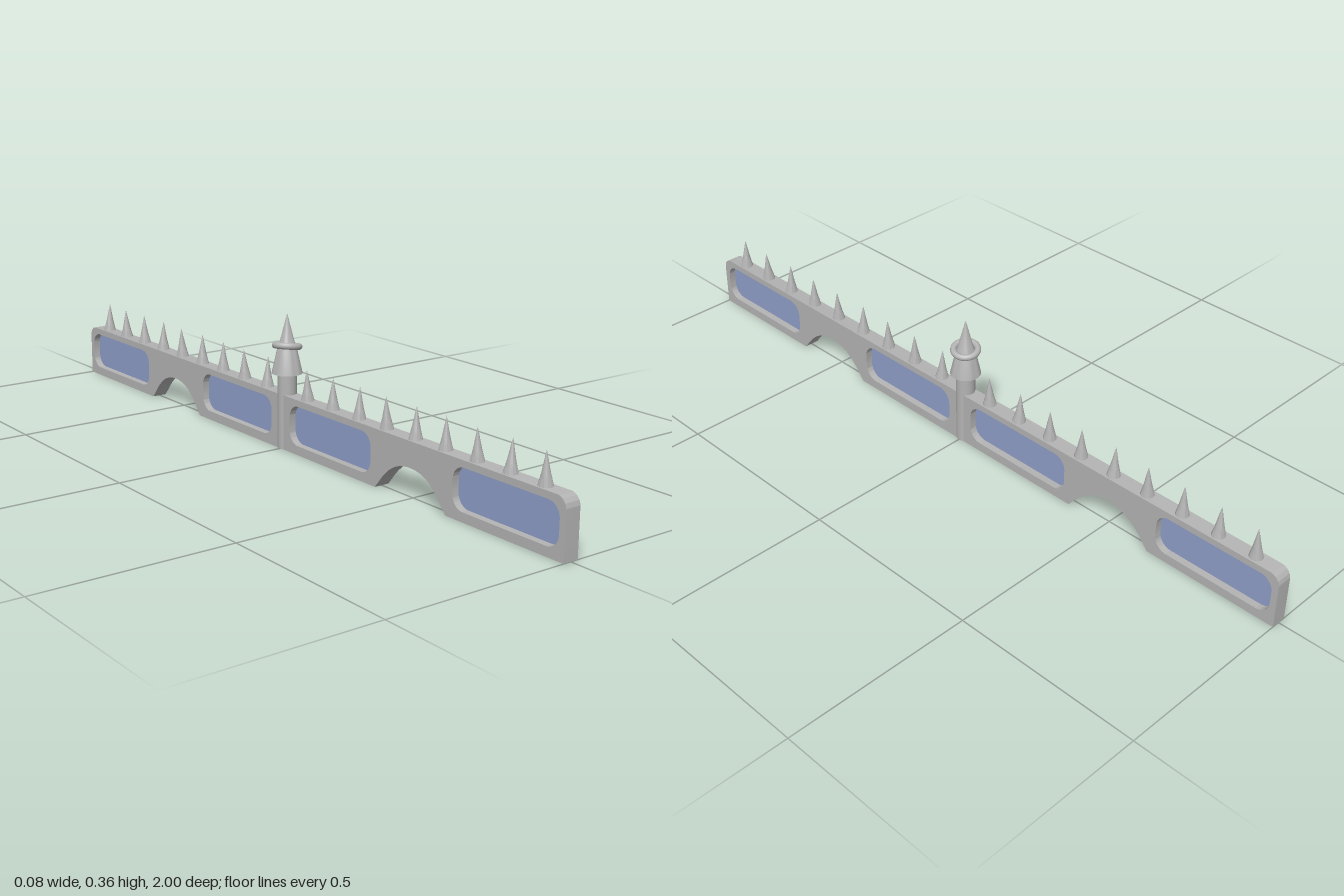
import * as THREE from 'three';
import { toCreasedNormals } from 'three/addons/utils/BufferGeometryUtils.js';

const stone = new THREE.MeshStandardMaterial({ color: 0xb4b4b4 });
stone.name = 'grey stone';
const glass = new THREE.MeshStandardMaterial({ color: 0x8f9fc9 });
glass.name = 'blue glass';

const WALL_H = 0.145;
const WALL_T = 0.042;
const WINDOW = { w: 0.327, h: 0.104, y: 0.076, r: 0.035 };
const WINDOW_Z = [-0.82, -0.203, 0.203, 0.82];

// Rounded rectangle centred on (cx, cy)
function roundedRect(path, cx, cy, w, h, r) {
  const x = w / 2 - r, y = h / 2 - r;
  path.absarc(cx + x, cy + y, r, 0, Math.PI / 2);
  path.absarc(cx - x, cy + y, r, Math.PI / 2, Math.PI);
  path.absarc(cx - x, cy - y, r, Math.PI, Math.PI * 1.5);
  path.absarc(cx + x, cy - y, r, Math.PI * 1.5, Math.PI * 2);
  path.closePath();
  return path;
}

// Extrudes a (z, y) outline across the wall thickness, centred on x = 0
function extrudeAcross(shape, depth) {
  const g = new THREE.ExtrudeGeometry(shape, { depth, bevelEnabled: false, curveSegments: 10 });
  g.translate(0, 0, -depth / 2);
  g.rotateY(-Math.PI / 2);
  return toCreasedNormals(g, 0.6);
}

function addMesh(parent, name, geometry, material) {
  const m = new THREE.Mesh(geometry, material);
  m.name = name;
  parent.add(m);
  return m;
}

function lathe(points, segments, crease = 0.6) {
  const g = new THREE.LatheGeometry(points.map(([r, y]) => new THREE.Vector2(r, y)), segments);
  return toCreasedNormals(g, crease);
}

// Wall outline with two arches underneath and rounded top corners
function wallShape() {
  const s = new THREE.Shape();
  s.moveTo(-1, 0);
  for (const c of [-0.51, 0.51]) {
    s.lineTo(c - 0.125, 0);
    s.lineTo(c - 0.098, 0.033);
    s.bezierCurveTo(c - 0.065, 0.07, c - 0.035, 0.08, c, 0.08);
    s.bezierCurveTo(c + 0.035, 0.08, c + 0.065, 0.07, c + 0.098, 0.033);
    s.lineTo(c + 0.125, 0);
  }
  const r = 0.028;
  s.lineTo(1, 0);
  s.absarc(1 - r, WALL_H - r, r, 0, Math.PI / 2);
  s.absarc(-1 + r, WALL_H - r, r, Math.PI / 2, Math.PI);
  s.closePath();
  for (const z of WINDOW_Z) {
    s.holes.push(roundedRect(new THREE.Path(), z, WINDOW.y, WINDOW.w, WINDOW.h, WINDOW.r));
  }
  return s;
}

export function createModel() {
  const model = new THREE.Group();
  model.name = 'spikedWall';

  // Wall and recessed panes
  addMesh(model, 'wall', extrudeAcross(wallShape(), WALL_T), stone);
  const pane = extrudeAcross(
    roundedRect(new THREE.Shape(), 0, 0, WINDOW.w, WINDOW.h, WINDOW.r), 0.004);
  for (const z of WINDOW_Z) {
    addMesh(model, 'windowPane', pane, glass).position.set(0, WINDOW.y, z);
  }

  // Concave spikes along the top, nine on each side of the post
  const spike = lathe([[0.018, -0.002], [0.0145, 0.012], [0.0105, 0.028],
    [0.0065, 0.048], [0.003, 0.066], [0, 0.08]], 12, 0.9);
  const spikes = new THREE.Group();
  spikes.name = 'spikes';
  model.add(spikes);
  for (const side of [-1, 1]) {
    for (let i = 0; i < 9; i++) {
      const m = addMesh(spikes, 'spike', spike, stone);
      m.position.set(0, WALL_H, side * (0.088 + 0.104 * i));
      m.rotation.z = 0.04 * Math.sin(i * 2.3 + side);
    }
  }

  // Central post
  const post = addMesh(model, 'post', new THREE.CylinderGeometry(0.025, 0.025, 0.201, 24), stone);
  post.position.y = 0.1005;

  // Pointed cap with a wider skirt
  addMesh(model, 'cap', lathe([[0, 0.199], [0.04, 0.199], [0.0245, 0.268],
    [0.02, 0.278], [0, 0.356]], 28), stone);

  // Tilted ring resting on the cap
  const ring = addMesh(model, 'capRing', new THREE.TorusGeometry(0.031, 0.0085, 12, 36), stone);
  ring.position.y = 0.27;
  ring.quaternion.setFromUnitVectors(
    new THREE.Vector3(0, 0, 1), new THREE.Vector3(0.17, 1, -0.12).normalize());

  return model;
}
